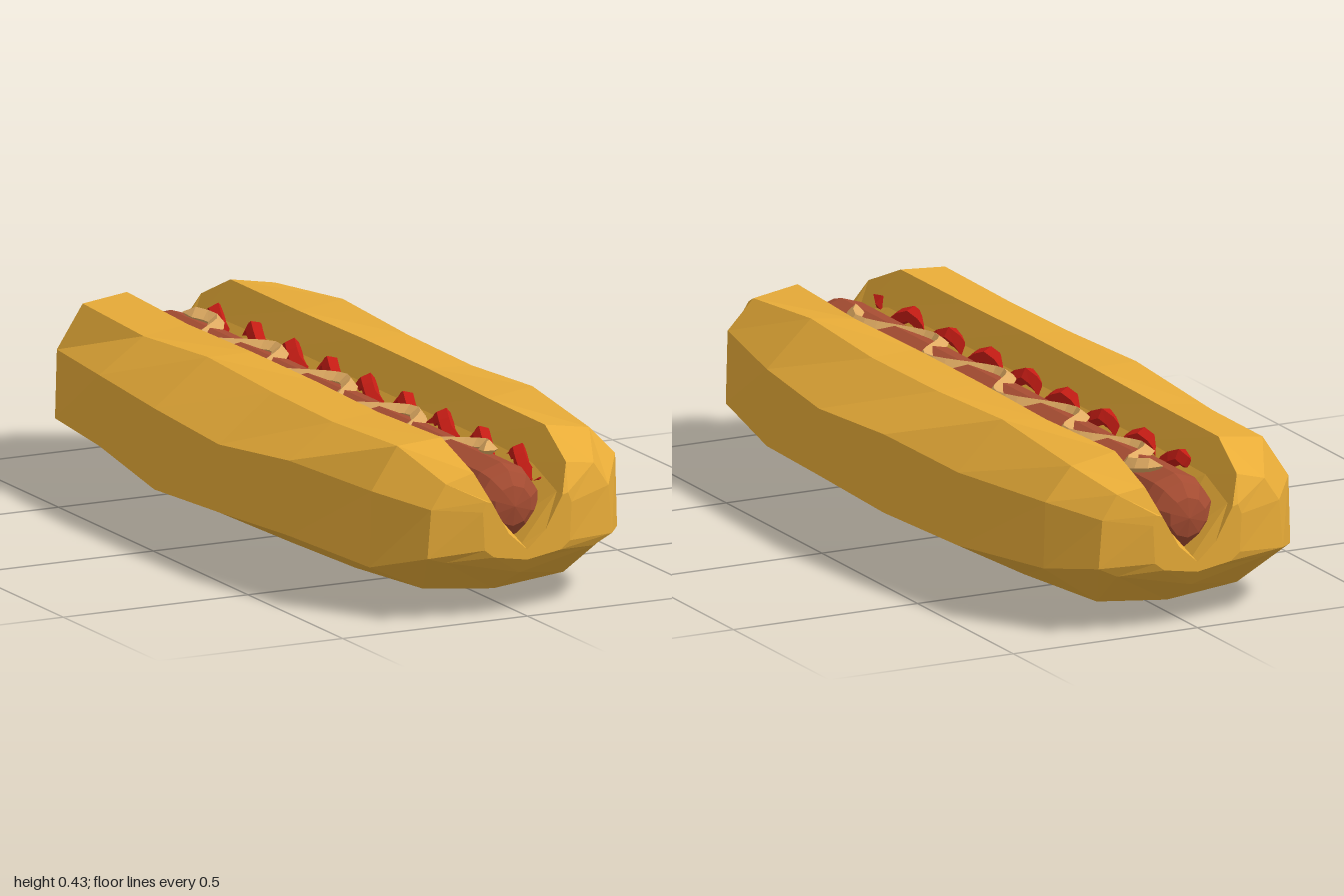
import * as THREE from 'three';

const mat = (color) => new THREE.MeshStandardMaterial({ color, flatShading: true, side: THREE.DoubleSide });

function part(name, geometry, color) {
  const mesh = new THREE.Mesh(geometry, mat(color));
  mesh.name = name;
  return mesh;
}

// Half sections of the bun: underside centre, round the side, over the lip, down to the slot floor
const MIDDLE = [[0, 0], [0.22, 0.03], [0.415, 0.13], [0.415, 0.315], [0.27, 0.42], [0.15, 0.42], [0.115, 0.33], [0, 0.165]];
const QUARTER = [[0, 0.01], [0.21, 0.035], [0.39, 0.14], [0.39, 0.32], [0.27, 0.42], [0.15, 0.415], [0.115, 0.33], [0, 0.165]];
const SHOULDER = [[0, 0.03], [0.19, 0.05], [0.335, 0.14], [0.33, 0.32], [0.26, 0.41], [0.14, 0.42], [0.105, 0.33], [0, 0.165]];
const TIP = [[0, 0.1], [0.2, 0.145], [0.25, 0.17], [0.24, 0.29], [0.2, 0.35], [0.125, 0.36], [0.1, 0.29], [0, 0.165]];
const CAP = [[0, 0.14], [0.09, 0.155], [0.115, 0.175], [0.12, 0.27], [0.11, 0.295], [0.095, 0.29], [0.05, 0.21], [0, 0.165]];
const STATIONS = [
  [-1, CAP], [-0.965, TIP], [-0.84, SHOULDER], [-0.5, QUARTER], [-0.16, MIDDLE],
  [0.18, MIDDLE], [0.5, QUARTER], [0.82, SHOULDER], [0.96, TIP], [1, CAP],
];

// Bun: mirrored sections joined along z, slightly uneven like baked dough
function bunGeometry() {
  const positions = [], index = [];
  const rings = STATIONS.map(([z, half], i) => {
    const ring = [...half, ...half.slice(1, -1).reverse().map(([x, y]) => [-x, y])];
    const n = ring.length;
    return ring.map(([x, y], j) => {
      const side = j > 1 && j < 5 || j > n - 5 && j < n - 1;
      const wobble = side && half !== CAP && half !== TIP ? 0.012 * Math.sin(i * 2.3 + j * 1.7) : 0;
      const lean = j > n - 5 && j < n - 1 && half !== CAP ? -0.01 : 0;
      positions.push(x, y + wobble + lean, z);
      return new THREE.Vector2(x, y + lean);
    });
  });
  const n = rings[0].length, last = rings.length - 1;
  for (let i = 0; i < last; i++) {
    for (let j = 0; j < n; j++) {
      const a = i * n + j, b = i * n + (j + 1) % n;
      index.push(a, b, a + n, b, b + n, a + n);
    }
  }
  // End faces
  for (const [a, b, c] of THREE.ShapeUtils.triangulateShape(rings[0], [])) {
    index.push(a, c, b, last * n + a, last * n + b, last * n + c);
  }
  const g = new THREE.BufferGeometry();
  g.setAttribute('position', new THREE.Float32BufferAttribute(positions, 3));
  g.setIndex(index);
  g.computeVertexNormals();
  return g;
}

// Tube with closed pointed ends, radius easing to nothing at both ends
function sauceGeometry(points, radius, steps, sides) {
  const curve = new THREE.CatmullRomCurve3(points.map((p) => new THREE.Vector3(...p)));
  const g = new THREE.TubeGeometry(curve, steps, radius, sides);
  const pos = g.attributes.position, centre = new THREE.Vector3(), v = new THREE.Vector3();
  for (const row of [0, steps]) {
    curve.getPointAt(row / steps, centre);
    for (let k = 0; k <= sides; k++) {
      const id = row * (sides + 1) + k;
      v.fromBufferAttribute(pos, id).lerp(centre, 0.95);
      pos.setXYZ(id, v.x, v.y, v.z);
    }
  }
  return g;
}

export function createModel() {
  const group = new THREE.Group();
  group.name = 'hotDog';
  group.add(part('bun', bunGeometry(), 0xe8ac38));

  // Sausage: rounded rod lying along z
  const profile = [[0, -0.95], [0.05, -0.94], [0.082, -0.91], [0.094, -0.87], [0.094, 0],
    [0.094, 0.87], [0.082, 0.91], [0.05, 0.935], [0, 0.945]].map(([r, y]) => new THREE.Vector2(r, y));
  const sausage = part('sausage', new THREE.LatheGeometry(profile, 10).rotateX(Math.PI / 2), 0xa54c32);
  sausage.position.set(-0.005, 0.26, 0);
  group.add(sausage);

  // Mustard: zigzag draped over the top of the sausage
  const zigzag = [[0, -0.82], [0.05, -0.74], [-0.065, -0.6], [0.055, -0.42], [-0.065, -0.26], [0.055, -0.06],
    [-0.065, 0.13], [0.055, 0.31], [-0.07, 0.49], [0.05, 0.69], [0, 0.77]];
  const drape = zigzag.map(([x, z]) => [x, 0.255 + Math.sqrt(0.104 ** 2 - x * x), z]);
  group.add(part('mustard', sauceGeometry(drape, 0.021, 60, 4), 0xe0ab62));

  // Ketchup: scalloped strips between the sausage and each side of the bun
  for (const [name, side, start, end] of [['ketchupLeft', 1, -0.9, 0.9], ['ketchupRight', -1, -0.76, 0.9]]) {
    const wave = [];
    const count = Math.round((end - start) / 0.05);
    for (let i = 0; i <= count; i++) {
      const phase = i * Math.PI / 2;
      wave.push([side * (0.108 + 0.014 * Math.cos(phase)), 0.315 + 0.027 * Math.sin(phase), start + (end - start) * i / count]);
    }
    group.add(part(name, sauceGeometry(wave, 0.022, count * 2, 5), 0xc41c14));
  }
  return group;
}
